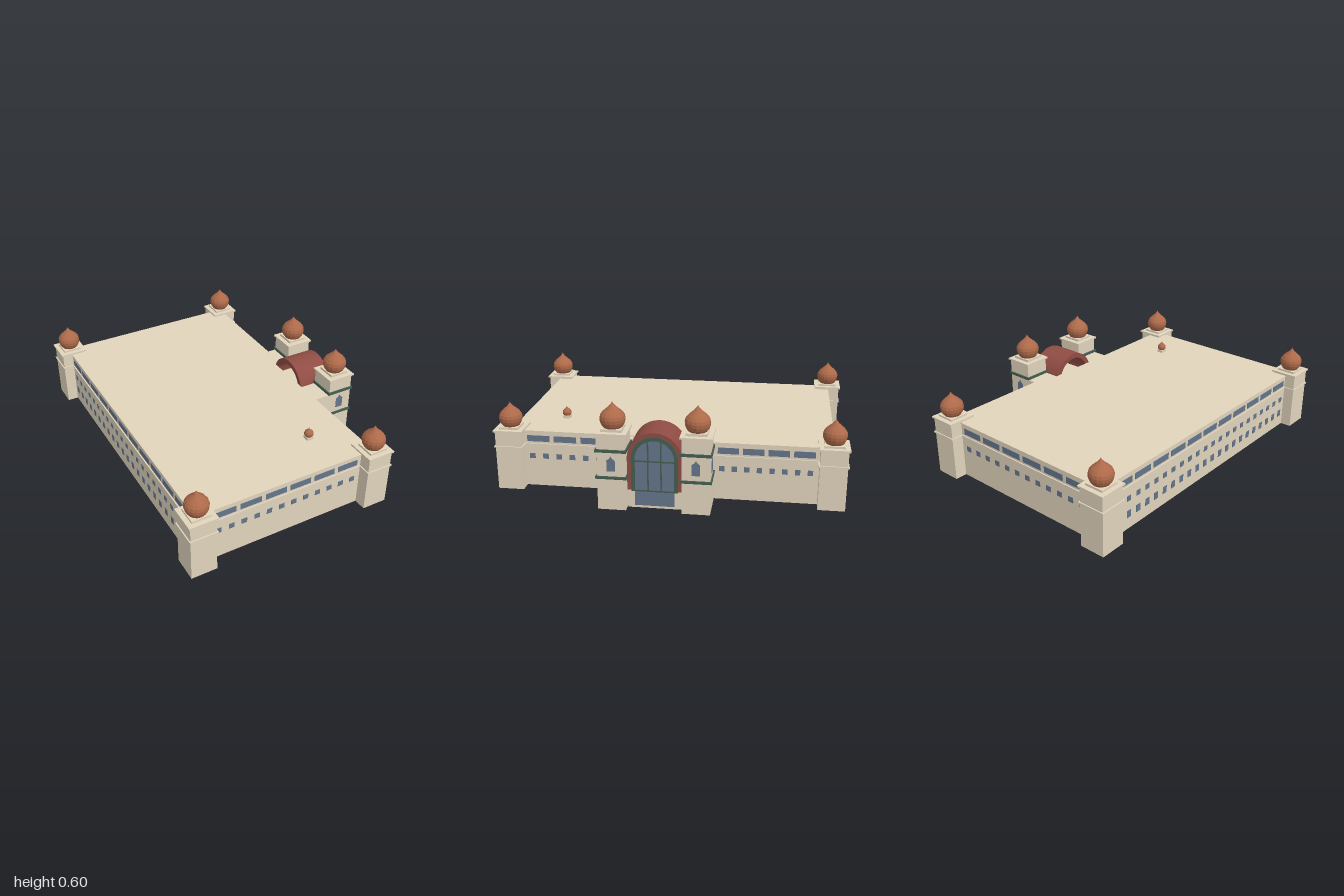
import * as THREE from 'three';

const mat = (name, color, extra = {}) => {
  const m = new THREE.MeshStandardMaterial({ color, ...extra });
  m.name = name;
  return m;
};

export function createModel() {
  const stone = mat('sandstone', 0xe1d4bc, { side: THREE.DoubleSide });
  const copper = mat('copper', 0xae6a4a, { flatShading: true });
  const glass = mat('blue glass', 0x64758b);
  const green = mat('dark green trim', 0x435e50);
  const red = mat('red vault', 0x8f4c44, { flatShading: true });

  const root = new THREE.Group();
  root.name = 'domedHall';

  const add = (parent, name, geo, material, x = 0, y = 0, z = 0) => {
    const m = new THREE.Mesh(geo, material);
    m.name = name;
    m.position.set(x, y, z);
    parent.add(m);
    return m;
  };
  // Box given by its ranges; open boxes have no bottom
  const box = (parent, name, material, [x0, x1], [y0, y1], [z0, z1], open = false) => {
    const g = new THREE.BoxGeometry(x1 - x0, y1 - y0, z1 - z0);
    if (open) {
      const i = Array.from(g.index.array);
      i.splice(18, 6);
      g.setIndex(i);
      g.clearGroups();
    }
    return add(parent, name, g, material, (x0 + x1) / 2, (y0 + y1) / 2, (z0 + z1) / 2);
  };
  // Square slab around a centre
  const slab = (parent, name, material, half, y0, y1, open) =>
    box(parent, name, material, [-half, half], [y0, y1], [-half, half], open);

  // Plan of the hall, grown outwards by o
  const plan = (o) => [
    [-0.652 - o, 0.916 + o], [0.455 + o, 0.916 + o], [0.455 + o, -0.215],
    [0.497 + o, -0.26], [0.497 + o, -0.92 - o], [-0.652 - o, -0.92 - o],
  ];
  const planSlab = (name, o, y0, y1) => {
    const s = new THREE.Shape(plan(o).map(([x, z]) => new THREE.Vector2(x, -z)));
    const g = new THREE.ExtrudeGeometry(s, { depth: y1 - y0, bevelEnabled: false });
    g.rotateX(-Math.PI / 2);
    add(root, name, g, stone, 0, y0, 0);
  };

  // Hall: upper body over an open skirt of walls
  const FLOOR = 0.12;
  planSlab('hallBody', 0, FLOOR, 0.336);
  const pos = [];
  const pts = plan(0);
  pts.forEach(([x0, z0], i) => {
    const [x1, z1] = pts[(i + 1) % pts.length];
    pos.push(x0, 0, z0, x1, 0, z1, x1, FLOOR, z1, x0, 0, z0, x1, FLOOR, z1, x0, FLOOR, z0);
  });
  const skirt = new THREE.BufferGeometry();
  skirt.setAttribute('position', new THREE.Float32BufferAttribute(pos, 3));
  skirt.computeVertexNormals();
  add(root, 'hallSkirt', skirt, stone);
  planSlab('wallBand', 0.007, 0.255, 0.263);
  planSlab('roofEdge', 0.003, 0.333, 0.34);

  // Onion dome of unit radius and height, scaled to size
  const profile = [[0, 0], [0.7, 0], [0.86, 0.11], [0.97, 0.24], [1, 0.37], [0.94, 0.49],
    [0.76, 0.61], [0.5, 0.72], [0.26, 0.82], [0.09, 0.92], [0, 1]]
    .map(([r, y]) => new THREE.Vector2(r, y));
  const dome = (parent, r, h, y, x = 0, z = 0) => {
    const g = new THREE.LatheGeometry(profile, 16);
    g.scale(r, h, r);
    add(parent, 'onionDome', g, copper, x, y, z);
  };

  // Corner towers
  for (const [x, z] of [[-0.642, 0.915], [0.452, 0.915], [-0.642, -0.916], [0.494, -0.916]]) {
    const t = new THREE.Group();
    t.name = 'cornerTower';
    t.position.set(x, 0, z);
    root.add(t);
    slab(t, 'towerBody', stone, 0.075, 0, 0.35, true);
    slab(t, 'towerBand', stone, 0.082, 0.254, 0.263);
    slab(t, 'towerCornice', stone, 0.084, 0.348, 0.358);
    slab(t, 'domeBase', stone, 0.056, 0.358, 0.37);
    dome(t, 0.067, 0.141, 0.368);
  }

  // Small roof dome
  box(root, 'smallDomeBase', stone, [0.184, 0.226], [0.338, 0.356], [0.632, 0.674]);
  dome(root, 0.027, 0.058, 0.354, 0.205, 0.653);

  // Rows of window plates along a wall; axis is the row direction, out the outward sign
  const row = (axis, at, out, from, to, n, fill, y) => {
    const pitch = (to - from) / n;
    for (let i = 0; i < n; i++) {
      const c = from + pitch * (i + 0.5);
      const along = [c - pitch * fill / 2, c + pitch * fill / 2];
      const near = at + out * 0.0005;
      const far = at + out * 0.003;
      const thick = [Math.min(near, far), Math.max(near, far)];
      box(root, 'wallWindow', glass, axis === 'x' ? along : thick, y, axis === 'x' ? thick : along);
    }
  };
  const walls = [
    ['x', 0.916, 1, -0.557, 0.365, 6],
    ['x', -0.92, -1, -0.555, 0.406, 6],
    ['z', 0.455, 1, 0.365, 0.837, 3],
    ['z', 0.497, 1, -0.83, -0.271, 4],
    ['z', -0.652, -1, -0.832, 0.832, 11],
  ];
  for (const [axis, at, out, from, to, n] of walls) {
    row(axis, at, out, from, to, n, 0.84, [0.275, 0.311]);
    row(axis, at, out, from, to, n * 2, 0.42, [0.17, 0.201]);
  }
  row('z', -0.652, -1, -0.832, 0.832, 22, 0.42, [0.07, 0.112]);

  // Pointed tower window facing +z
  const pointed = new THREE.Shape([[-0.023, 0.228], [0.023, 0.228], [0.023, 0.29],
    [0.008, 0.301], [0, 0.315], [-0.008, 0.301], [-0.023, 0.29]]
    .map(([x, y]) => new THREE.Vector2(x, y)));
  const pointedGeo = new THREE.ExtrudeGeometry(pointed, { depth: 0.003, bevelEnabled: false });

  // Entrance towers with the blocks joining them to the hall
  const MID = 0.045;
  for (const side of [1, -1]) {
    const z = MID + side * 0.231;
    const t = new THREE.Group();
    t.name = 'entranceTower';
    t.position.set(0.638, 0, z);
    root.add(t);
    slab(t, 'towerBody', stone, 0.078, 0, 0.437, true);
    for (const [y0, y1] of [[0.183, 0.198], [0.337, 0.353]]) slab(t, 'greenBand', green, 0.086, y0, y1);
    slab(t, 'towerCornice', stone, 0.088, 0.435, 0.445);
    slab(t, 'domeBase', stone, 0.058, 0.445, 0.459);
    dome(t, 0.071, 0.147, 0.455);
    const outer = add(t, 'towerWindow', pointedGeo, glass, 0, 0, side * 0.078);
    if (side < 0) outer.rotation.y = Math.PI;
    add(t, 'towerWindow', pointedGeo, glass, 0.078, 0, 0).rotation.y = Math.PI / 2;
    box(root, 'linkBlock', stone, [0.45, 0.563], [0, 0.335], [z - 0.078, z + 0.078], true);
  }

  // Arched entrance between the towers, facing +x
  const SPRING = 0.29;
  const arch = (r, y0, Type = THREE.Shape) => {
    const s = new Type();
    s.moveTo(-r, y0);
    s.lineTo(r, y0);
    s.lineTo(r, SPRING);
    s.absarc(0, SPRING, r, 0, Math.PI, false);
    s.lineTo(-r, y0);
    return s;
  };
  const archBand = (outer, inner, y0) => {
    const s = arch(outer, y0);
    s.holes.push(arch(inner, y0 + 0.0002, THREE.Path));
    return s;
  };
  const addArch = (name, shape, depth, material, x) => {
    const g = new THREE.ExtrudeGeometry(shape, { depth, bevelEnabled: false, curveSegments: 14 });
    g.rotateY(Math.PI / 2);
    add(root, name, g, material, x, 0, MID);
  };
  box(root, 'entranceBase', stone, [0.46, 0.668], [0, SPRING], [MID - 0.15, MID + 0.15], true);
  addArch('barrelVault', archBand(0.152, 0.122, 0.105), 0.21, red, 0.46);
  addArch('entranceGlass', arch(0.11, 0.015), 0.005, glass, 0.667);
  addArch('archFrame', archBand(0.129, 0.108, 0.1), 0.007, green, 0.668);
  const front = [0.669, 0.675];
  for (const dz of [-0.036, 0.036])
    box(root, 'mullion', green, front, [0.105, 0.392], [MID + dz - 0.004, MID + dz + 0.004]);
  for (const y of [0.104, 0.278])
    box(root, 'transom', green, front, [y - 0.004, y + 0.004], [MID - 0.11, MID + 0.11]);

  return root;
}
